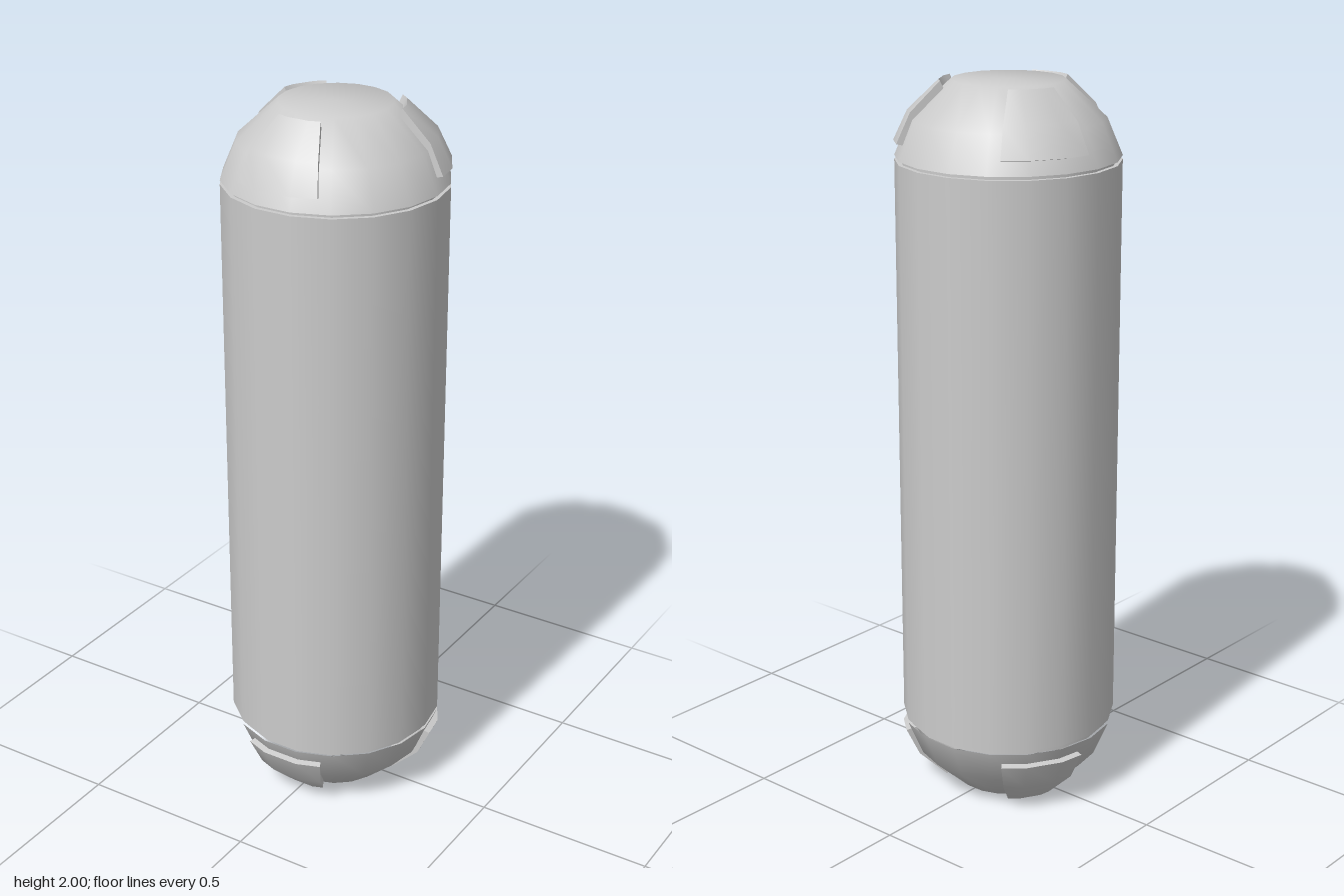
import * as THREE from 'three';
import { toCreasedNormals } from 'three/addons/utils/BufferGeometryUtils.js';

const SIDES = 18;
const grey = new THREE.MeshStandardMaterial({ color: 0xcccccc });

function mesh(name, geometry) {
  const m = new THREE.Mesh(geometry, grey);
  m.name = name;
  return m;
}

// Cylinder whose corners line up with the dome facets
function drum(radius, height) {
  return new THREE.CylinderGeometry(radius, radius, height, SIDES, 1, false, Math.PI / 2);
}

// Raised curved plate facing +z: a closed profile swept over the dome facets
function plateGeometry() {
  // radius, height above the middle, half angle in degrees
  const profile = [
    [0.302, 0.84, 23.4], [0.264, 0.92, 22.6], [0.182, 0.998, 20],
    [0.168, 0.97, 20], [0.245, 0.895, 22.6], [0.272, 0.833, 23.4],
  ];
  const rad = THREE.MathUtils.degToRad;
  const n = profile.length;
  const positions = [];
  const index = [];
  for (let s = 0; s < 4; s++) {
    for (const [r, y, half] of profile) {
      const a = rad([-half, -10, 10, half][s]);
      const outer = s === 0 || s === 3;
      // the ends lie on the straight edge between neighbouring dome corners
      const chord = outer ? Math.cos(rad(10)) / Math.cos(rad(20 - half)) : 1;
      positions.push(r * chord * Math.sin(a), y, r * chord * Math.cos(a));
    }
  }
  for (let s = 0; s < 3; s++) {
    for (let i = 0; i < n; i++) {
      const a = s * n + i, b = s * n + (i + 1) % n;
      index.push(a, a + n, b, b, a + n, b + n);
    }
  }
  // end faces
  for (let i = 0; i < 2; i++) {
    const quad = [i, i + 1, 4 - i, 5 - i];
    const [a, b, c, d] = quad;
    index.push(a, b, c, a, c, d);
    const e = 3 * n;
    index.push(e + a, e + c, e + b, e + a, e + d, e + c);
  }
  const g = new THREE.BufferGeometry();
  g.setAttribute('position', new THREE.Float32BufferAttribute(positions, 3));
  g.setIndex(index);
  return toCreasedNormals(g, THREE.MathUtils.degToRad(38));
}

// Rounded end with three plates
function endCap(name) {
  const cap = new THREE.Group();
  cap.name = name;
  const profile = [[0.3, 0.8], [0.258, 0.9], [0.15, 1], [0, 1]];
  const dome = new THREE.LatheGeometry(
    profile.map(([r, y]) => new THREE.Vector2(r, y)), SIDES, Math.PI / 2);
  cap.add(mesh('dome', dome));

  const plate = plateGeometry();
  for (let i = 0; i < 3; i++) {
    const p = mesh('plate' + (i + 1), plate);
    p.rotation.y = i * Math.PI * 2 / 3;
    cap.add(p);
  }
  return cap;
}

export function createModel() {
  const model = new THREE.Group();
  model.name = 'capsule';

  const body = mesh('body', drum(0.3, 1.58));
  body.position.y = 1;
  model.add(body);

  // recessed core showing in the grooves between body and ends
  const core = mesh('grooveCore', drum(0.288, 1.61));
  core.position.y = 1;
  model.add(core);

  const top = endCap('topEnd');
  top.position.y = 1;
  model.add(top);

  const bottom = endCap('bottomEnd');
  bottom.position.y = 1;
  bottom.rotation.z = Math.PI;
  model.add(bottom);

  return model;
}
